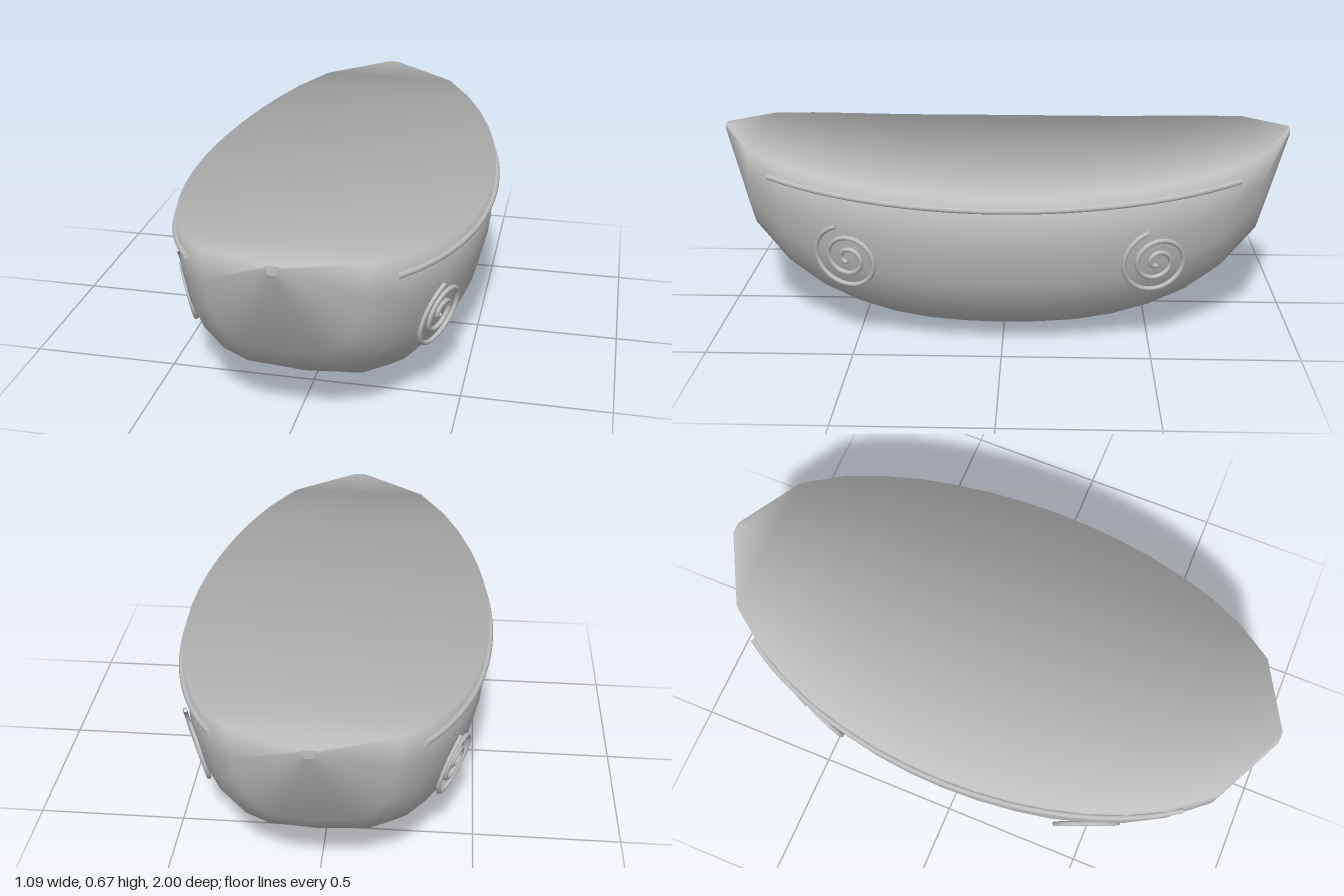
import * as THREE from 'three';

const STATIONS = 16, SIDES = 12, TIP = 0.64;
const KEEL = [0, 0.003, 0.01, 0.028, 0.06, 0.11, 0.19, 0.32, TIP];

// Hull rules: t runs from -1 (stern) to 1 (bow)
const halfWidth = t => Math.max(0.02, 0.53 * Math.sqrt(1 - t * t));
const sheer = t => 0.57 + 0.1 * Math.pow(Math.abs(t), 2.4);
const keel = t => KEEL[Math.round(Math.abs(t) * 8)];

// Evenly weighted smooth normals, so the gunwale rolls softly into the deck
function softNormals(geometry) {
  const p = geometry.attributes.position, index = geometry.index.array;
  const sums = Array.from({ length: p.count }, () => new THREE.Vector3());
  const v = [0, 1, 2].map(() => new THREE.Vector3());
  const face = new THREE.Triangle(), n = new THREE.Vector3();
  for (let f = 0; f < index.length; f += 3) {
    v.forEach((q, k) => q.fromBufferAttribute(p, index[f + k]));
    face.set(v[0], v[1], v[2]).getNormal(n);
    for (let k = 0; k < 3; k++) {
      const e1 = v[(k + 1) % 3].clone().sub(v[k]), e2 = v[(k + 2) % 3].clone().sub(v[k]);
      sums[index[f + k]].addScaledVector(n, e1.angleTo(e2));
    }
  }
  const normals = sums.flatMap(s => s.normalize().toArray());
  geometry.setAttribute('normal', new THREE.Float32BufferAttribute(normals, 3));
}

// Closed hull sections: round sides and keel, then straight across as the deck
function hullGeometry() {
  const points = [], index = [], ring = SIDES + 1;
  for (let i = 0; i <= STATIONS; i++) {
    const t = 1 - 2 * i / STATIONS;
    for (let j = 0; j < ring; j++) {
      const a = Math.PI * j / SIDES, c = Math.cos(a);
      const x = j === SIDES / 2 ? 0 : Math.sign(c) * halfWidth(t) * Math.pow(Math.abs(c), 0.58);
      const drop = j === SIDES ? 0 : Math.pow(Math.sin(a), 0.82);
      points.push(x, sheer(t) - (sheer(t) - keel(t)) * drop, t);
    }
  }
  for (let i = 0; i < STATIONS; i++) {
    for (let j = 0; j < ring; j++) {
      const a = i * ring + j, c = i * ring + (j + 1) % ring, b = a + ring, d = c + ring;
      index.push(a, c, b, c, d, b);
    }
  }
  const geometry = new THREE.BufferGeometry();
  geometry.setAttribute('position', new THREE.Float32BufferAttribute(points, 3));
  geometry.setIndex(index);
  softNormals(geometry);
  return geometry;
}

// Rub rail following the gunwale
function railCurve() {
  const points = [];
  for (let i = 0; i <= 20; i++) {
    const t = 0.79 * (1 - i / 10);
    points.push(new THREE.Vector3(0.534 * Math.sqrt(1 - t * t), 0.525 + 0.072 * t * t, t));
  }
  return new THREE.CatmullRomCurve3(points);
}

// Flat spiral ornament leaning with the hull side, near the bow (1) or stern (-1)
function spiralGeometry(end) {
  const points = [], turns = 2.5, steps = 50;
  for (let i = 0; i <= steps; i++) {
    const u = i / steps, r = 0.122 - 0.112 * u;
    const a = THREE.MathUtils.degToRad(106) + u * turns * Math.PI * 2;
    const dz = -r * Math.cos(a), dy = r * Math.sin(a);
    points.push(new THREE.Vector3(0.427 + 0.23 * dy - 0.42 * end * dz, 0.318 + dy, end * 0.515 + dz));
  }
  return new THREE.TubeGeometry(new THREE.CatmullRomCurve3(points), 150, 0.008, 8);
}

export function createModel() {
  const model = new THREE.Group();
  model.name = 'boat';
  const grey = new THREE.MeshStandardMaterial({ color: 0xbfbfbf });
  grey.name = 'lightGrey';

  const add = (parent, name, geometry) => {
    const mesh = new THREE.Mesh(geometry, grey);
    mesh.name = name;
    parent.add(mesh);
    return mesh;
  };

  add(model, 'hullAndDeck', hullGeometry());

  // Small blunt plates closing the bow and stern tips
  const tip = new THREE.Shape([[-0.02, 0.67], [-0.014, TIP + 0.004], [0, TIP], [0.014, TIP + 0.004], [0.02, 0.67]]
    .map(([x, y]) => new THREE.Vector2(x, y)));
  const tipGeometry = new THREE.ShapeGeometry(tip);

  // Each side with its end plate repeats by a half turn
  const curve = railCurve();
  const rail = new THREE.TubeGeometry(curve, 40, 0.01, 8);
  const railEnd = new THREE.CircleGeometry(0.01, 8);
  const spirals = [spiralGeometry(1), spiralGeometry(-1)];
  ['left', 'right'].forEach((side, k) => {
    const group = new THREE.Group();
    group.name = side + 'Trim';
    group.rotation.y = k * Math.PI;
    add(group, side + 'Rail', rail);
    add(group, side + 'BowSpiral', spirals[k]);
    add(group, side + 'SternSpiral', spirals[1 - k]);
    // Flat caps on the rail ends
    for (const u of [0, 1]) {
      const cap = add(group, side + 'RailEnd', railEnd);
      const out = curve.getTangentAt(u).multiplyScalar(u ? 1 : -1);
      cap.position.copy(curve.getPointAt(u));
      cap.quaternion.setFromUnitVectors(new THREE.Vector3(0, 0, 1), out);
    }
    add(group, k ? 'sternPlate' : 'bowPlate', tipGeometry).position.z = 1;
    model.add(group);
  });
  return model;
}
